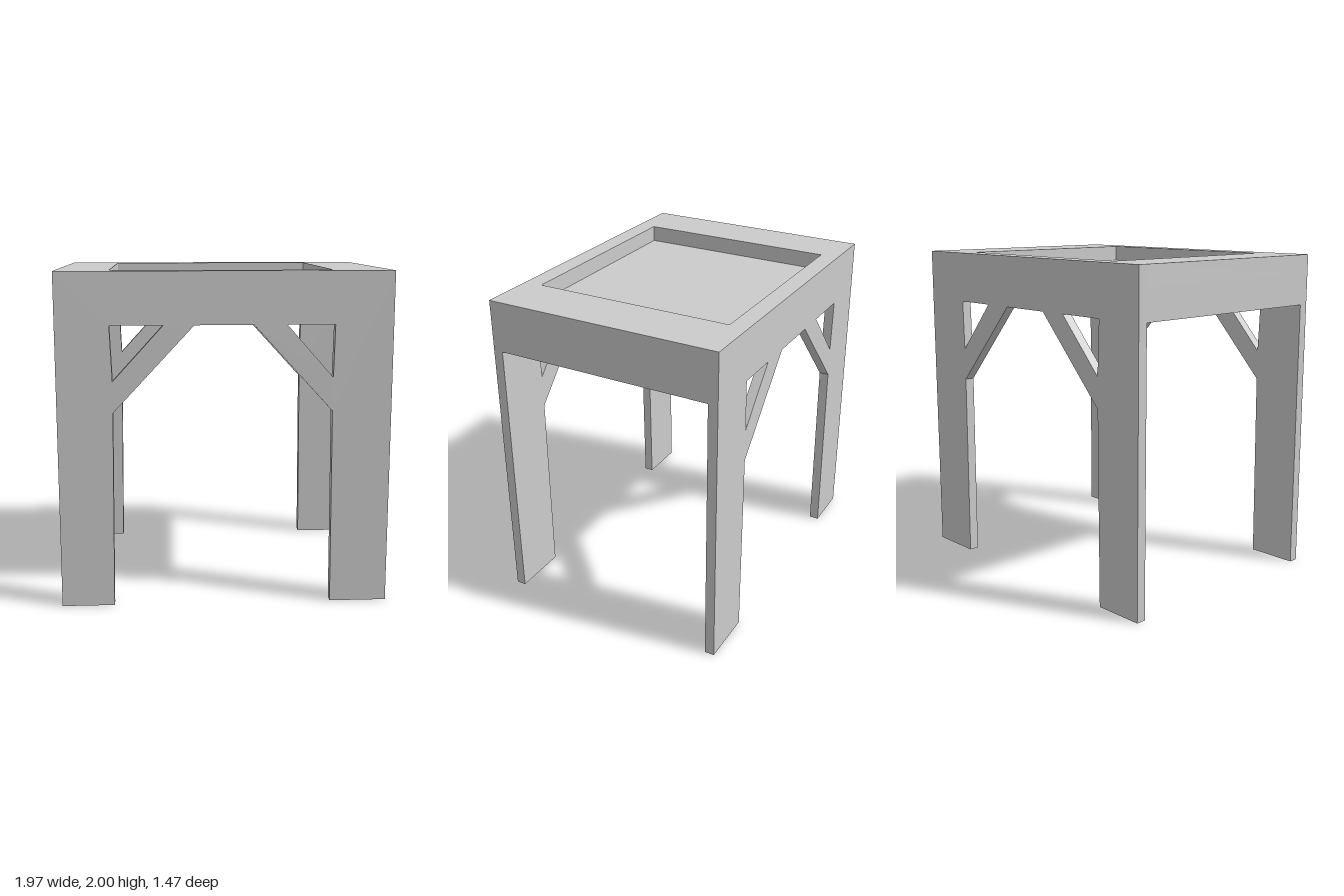
import * as THREE from 'three';

const X = 0.983, Z = 0.735, T = 0.06; // half width, half depth, board thickness
const ZI = Z - T;                      // inner face of the leg panels

const toPoints = (pts) => pts.map(([x, y]) => new THREE.Vector2(x, y));
const rect = (x0, x1, y0, y1) => [[x0, y0], [x1, y0], [x1, y1], [x0, y1]];

// Flat board with cut-outs, extruded along +z
function board(outline, holes, depth) {
  const shape = new THREE.Shape(toPoints(outline));
  for (const h of holes) shape.holes.push(new THREE.Path(toPoints(h)));
  return new THREE.ExtrudeGeometry(shape, { depth, bevelEnabled: false });
}

export function createModel() {
  const group = new THREE.Group();
  const material = new THREE.MeshStandardMaterial({ color: 0xcccccc });
  const add = (name, geometry) => {
    const mesh = new THREE.Mesh(geometry, material);
    mesh.name = name;
    group.add(mesh);
    return mesh;
  };

  // Front and back panels: two legs, apron and diagonal braces in one board
  const outline = [
    [-X, 0], [-0.67, 0], [-0.657, 1.18], [-0.18, 1.69], [0.165, 1.69],
    [0.632, 1.18], [0.64, 0], [X, 0], [X, 2], [-X, 2],
  ];
  const braceGaps = [
    [[-0.67, 1.69], [-0.657, 1.365], [-0.36, 1.69]],
    [[0.64, 1.69], [0.36, 1.69], [0.633, 1.38]],
  ];
  const panel = board(outline, braceGaps, T);
  add('frontLegPanel', panel).position.z = ZI;
  add('backLegPanel', panel).position.z = -Z;

  // Horizontal rings laid flat between the panels
  const ring = (name, hole, y0, y1) => {
    const g = board(rect(-X, X, -ZI, ZI), [hole], y1 - y0);
    g.rotateX(-Math.PI / 2);
    add(name, g).position.y = y0;
  };
  // Apron rim, open from below
  ring('apronRim', rect(-X + T, X - T, -0.615, 0.615), 1.69, 1.88);
  // Table top with a shallow rectangular recess
  ring('topFrame', rect(-0.67, 0.64, -0.622, 0.622), 1.88, 2);

  // Floor of the recess
  const floor = new THREE.BoxGeometry(1.31, 0.02, 1.244);
  add('recessFloor', floor).position.set(-0.015, 1.89, 0);

  return group;
}
